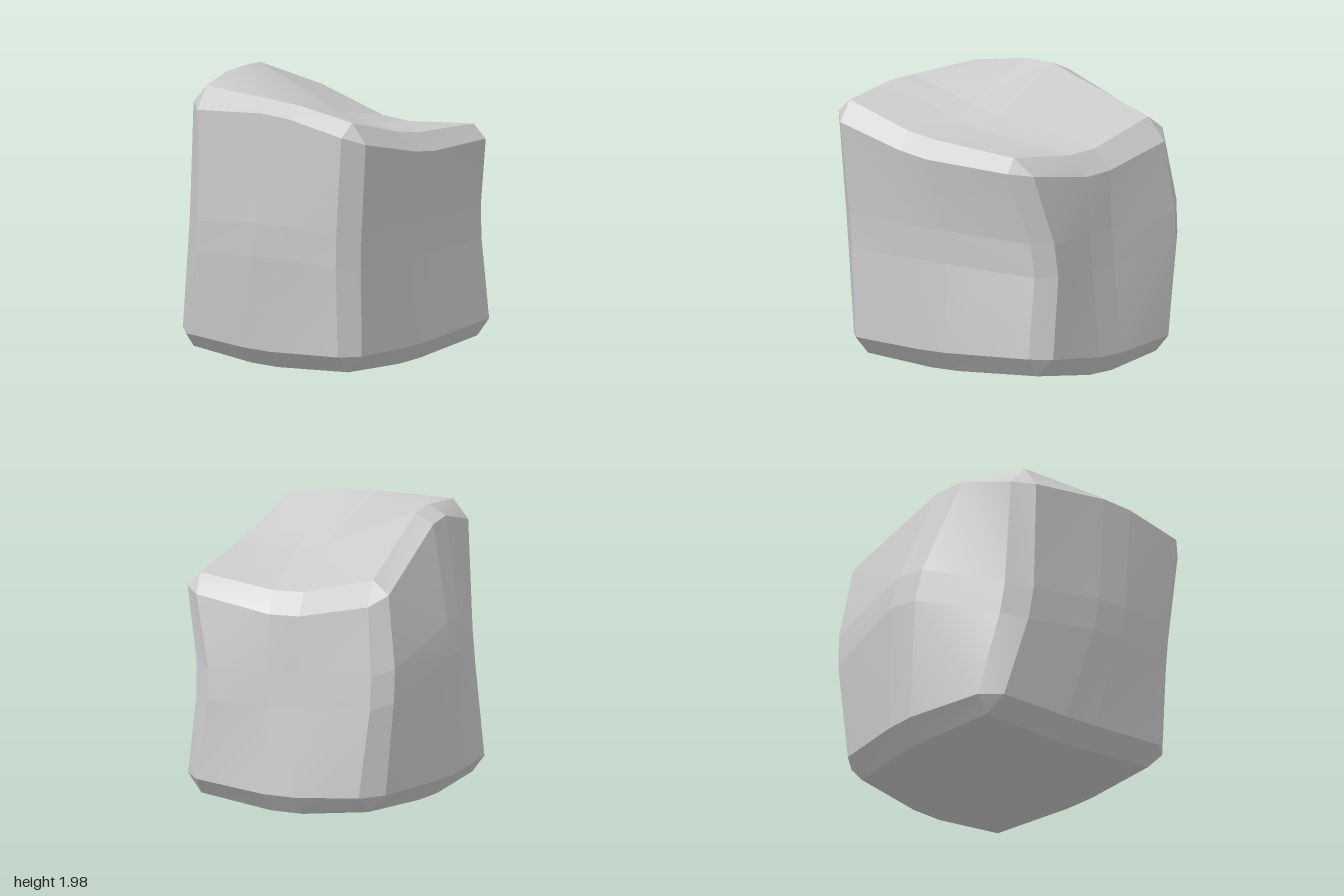
import * as THREE from 'three';

// 3x3x3 control cage of the block: [y layer][z row, back to front][x column]; the core point is unused
const V = (x, y, z) => new THREE.Vector3(x, y, z);
const CAGE = [
  [ // bottom layer
    [V(-0.76, 0.17, -0.76), V(-0.08, 0.1, -0.85), V(0.65, 0.175, -0.91)],
    [V(-0.86, 0.16, -0.01), V(-0.06, -0.01, -0.09), V(0.76, 0.13, 0)],
    [V(-0.74, 0.15, 0.79), V(0, 0.115, 0.8), V(0.83, 0.155, 0.76)],
  ],
  [ // middle layer
    [V(-0.87, 1.0, -0.77), V(-0.06, 0.92, -0.74), V(0.54, 0.93, -0.9)],
    [V(-0.91, 1.25, 0.09), null, V(0.76, 0.96, 0)],
    [V(-0.53, 0.92, 0.88), V(0.22, 1.0, 0.91), V(0.85, 0.98, 0.79)],
  ],
  [ // top layer
    [V(-0.79, 1.7, -0.69), V(-0.06, 1.52, -0.73), V(0.735, 1.62, -0.77)],
    [V(-0.6, 2.08, 0.29), V(0.23, 1.7, 0.13), V(0.88, 1.665, 0.09)],
    [V(-0.52, 1.9, 0.91), V(0.28, 1.97, 0.89), V(0.925, 1.85, 0.82)],
  ],
];
const BEVEL = 0.115;
const CENTRE = V(0, 0.95, 0);
const cage = (g) => CAGE[g[1]][g[2]][g[0]];

// Each face has 4 stations per direction: [cage index, direction of the bevel inset]
const STATIONS = [[0, 1], [1, -1], [1, 1], [2, -1]];

// Point of the face across `axis` (end 0 or 3); s holds the station number on every axis
function facePoint(axis, s) {
  const g = s.map((n) => STATIONS[n][0]);
  const base = cage(g);
  const p = base.clone();
  for (let a = 0; a < 3; a++) {
    if (a === axis) continue;
    const n = g.slice();
    n[a] += STATIONS[s[a]][1];
    p.addScaledVector(cage(n).clone().sub(base).normalize(), BEVEL);
  }
  return p;
}

function blockGeometry() {
  const pos = [], index = [];
  // Adds a triangle or quad, turned outwards, with its own corners
  const addFace = (pts) => {
    const mid = pts.reduce((m, p) => m.add(p), V(0, 0, 0)).divideScalar(pts.length);
    const last = pts[pts.length - 1];
    const n = pts.length === 4
      ? pts[2].clone().sub(pts[0]).cross(pts[3].clone().sub(pts[1]))
      : pts[1].clone().sub(pts[0]).cross(last.clone().sub(pts[0]));
    if (n.dot(mid.sub(CENTRE)) < 0) pts.reverse();
    const o = pos.length / 3;
    pts.forEach((p) => pos.push(p.x, p.y, p.z));
    index.push(o, o + 1, o + 2);
    if (pts.length === 4) index.push(o, o + 2, o + 3);
  };
  const station = (a, va, b, vb, c, vc) => {
    const s = [0, 0, 0];
    s[a] = va; s[b] = vb; s[c] = vc;
    return s;
  };

  for (let a = 0; a < 3; a++) {
    const b = (a + 1) % 3, c = (a + 2) % 3;
    for (const ea of [0, 3]) {
      // Six sides, each a 3x3 patch
      for (let i = 0; i < 3; i++) for (let j = 0; j < 3; j++) {
        addFace([[0, 0], [1, 0], [1, 1], [0, 1]].map(([u, v]) =>
          facePoint(a, station(a, ea, b, i + u, c, j + v))));
      }
      // Bevel strips along the edges between sides a and b
      for (const eb of [0, 3]) for (let k = 0; k < 3; k++) {
        const s0 = station(a, ea, b, eb, c, k), s1 = station(a, ea, b, eb, c, k + 1);
        addFace([facePoint(a, s0), facePoint(a, s1), facePoint(b, s1), facePoint(b, s0)]);
      }
    }
  }
  // Corner triangles
  for (const x of [0, 3]) for (const y of [0, 3]) for (const z of [0, 3]) {
    addFace([0, 1, 2].map((a) => facePoint(a, [x, y, z])));
  }

  const geo = new THREE.BufferGeometry();
  geo.setAttribute('position', new THREE.Float32BufferAttribute(pos, 3));
  geo.setIndex(index);
  geo.computeVertexNormals();
  // Stand the block on the ground
  geo.computeBoundingBox();
  geo.translate(0, -geo.boundingBox.min.y, 0);
  return geo;
}

export function createModel() {
  const group = new THREE.Group();
  group.name = 'rock';
  const block = new THREE.Mesh(blockGeometry(), new THREE.MeshStandardMaterial({ color: 0xcccccc }));
  block.name = 'rockBlock';
  group.add(block);
  return group;
}
